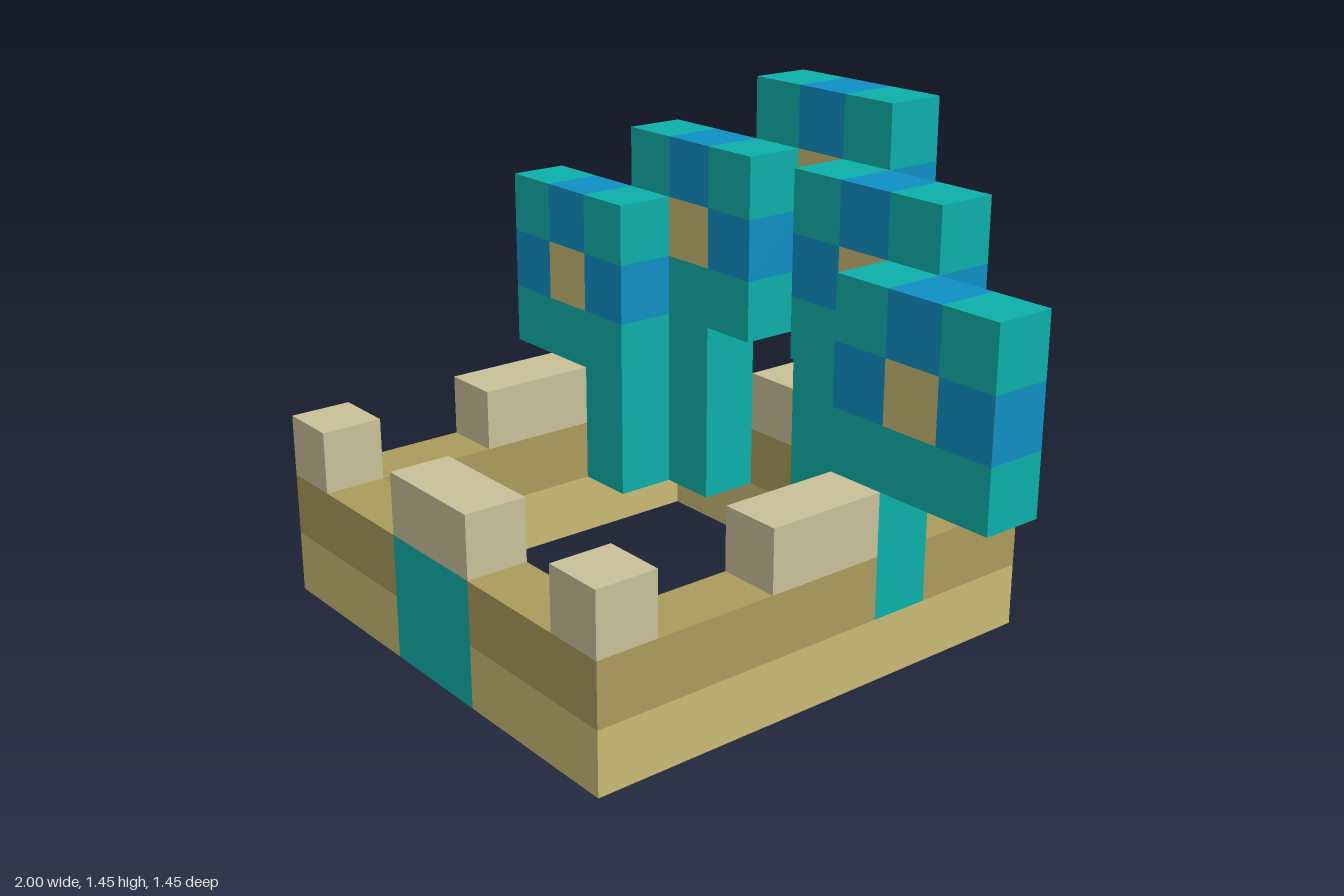
import * as THREE from 'three';

const U = 2 / 11; // one block

const mat = (name, color) => {
  const m = new THREE.MeshStandardMaterial({ color });
  m.name = name;
  return m;
};

export function createModel() {
  const sand = mat('sand', 0xc9b974);
  const darkSand = mat('darkSand', 0xab9b5c);
  const paleStone = mat('paleStone', 0xc9c098);
  const teal = mat('teal', 0x0dafa9);
  const blue = mat('blue', 0x0f8fc3);

  const model = new THREE.Group();
  model.name = 'flowerCastle';

  // Box at block cell (x, y, z) spanning w, h, d blocks
  const block = (parent, name, material, x, y, z, w = 1, h = 1, d = 1) => {
    const mesh = new THREE.Mesh(new THREE.BoxGeometry(w * U, h * U, d * U), material);
    mesh.name = name;
    mesh.position.set((x + w / 2 - 5.5) * U, (y + h / 2) * U, (z + d / 2 - 4) * U);
    parent.add(mesh);
  };

  // Lower wall course, open at the gate
  const walls = new THREE.Group();
  walls.name = 'walls';
  model.add(walls);
  block(walls, 'lowerBackWall', sand, 1, 0, 0, 8);
  for (const x of [1, 8]) block(walls, 'lowerSideWall', sand, x, 0, 1, 1, 1, 6);
  // Upper course, leaving room for the two stems set into it
  block(walls, 'upperBackWall', darkSand, 1, 1, 0, 4);
  block(walls, 'upperBackWall', darkSand, 6, 1, 0, 3);
  block(walls, 'upperRightWall', darkSand, 1, 1, 1, 1, 1, 6);
  block(walls, 'upperLeftWall', darkSand, 8, 1, 1);
  block(walls, 'upperLeftWall', darkSand, 8, 1, 3, 1, 1, 4);
  // Front wall on both sides of the gate
  [sand, darkSand].forEach((m, y) => {
    for (const x of [1, 6]) block(walls, 'frontWall', m, x, y, 7, 3);
  });
  block(model, 'gate', teal, 4, 0, 7, 2, 2);

  // Battlements
  const battlements = new THREE.Group();
  battlements.name = 'battlements';
  model.add(battlements);
  for (const x of [1, 8]) {
    for (const z of [0, 7]) block(battlements, 'cornerMerlon', paleStone, x, 2, z);
    block(battlements, 'sideMerlon', paleStone, x, 2, 3, 1, 1, 2);
  }
  block(battlements, 'frontMerlon', paleStone, 4, 2, 7, 2);
  block(battlements, 'backMerlon', paleStone, 4, 2, 0);

  // Flowers: 3 x 3 head on a stem; head = left cell x, bottom cell y, depth z
  const flower = (name, x, y, z, stemX) => {
    const g = new THREE.Group();
    g.name = name;
    model.add(g);
    block(g, 'stem', teal, stemX, 1, z, 1, y - 1);
    block(g, 'headBase', teal, x, y, z, 3);
    for (const dx of [0, 2]) {
      block(g, 'sidePetal', blue, x + dx, y + 1, z);
      block(g, 'headCorner', teal, x + dx, y + 2, z);
    }
    block(g, 'flowerCentre', sand, x + 1, y + 1, z);
    block(g, 'topPetal', blue, x + 1, y + 2, z);
  };
  flower('backFlower', 4, 5, 0, 5);
  flower('middleRightFlower', 2, 4, 1, 3);
  flower('middleLeftFlower', 6, 4, 1, 7);
  flower('outerRightFlower', 0, 3, 2, 2);
  flower('outerLeftFlower', 8, 3, 2, 8);

  return model;
}
